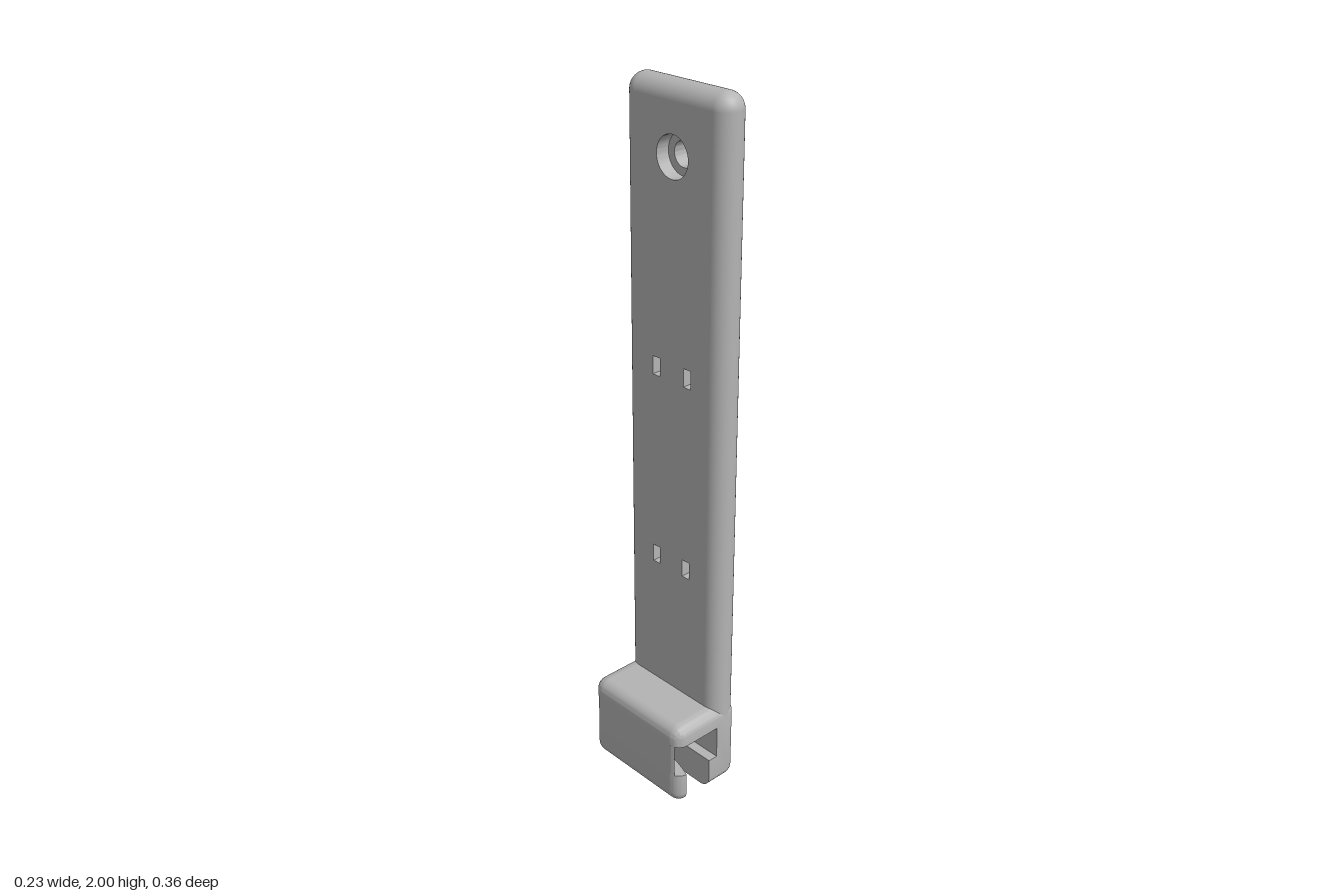
import * as THREE from 'three';
import { toCreasedNormals } from 'three/addons/utils/BufferGeometryUtils.js';

const H = 0.182;                 // half width along z
const R = 0.036;                 // clamp edge rounding
const LEFT = -0.117, RIGHT = 0.114, TOP = 0.26;
const PLATE_X = 0.024, PLATE_R = (RIGHT - PLATE_X) / 2;

// How far the rounded outer skin has pulled in at a given z
function inset(z) {
  const a = Math.max(0, Math.abs(z) - (H - R));
  return R - Math.sqrt(Math.max(0, R * R - a * a));
}

function arc(cx, cy, r, from, steps = 8) {
  return Array.from({ length: steps + 1 }, (_, i) => {
    const a = from + (i / steps) * Math.PI / 2;
    return new THREE.Vector2(cx + r * Math.cos(a), cy + r * Math.sin(a));
  });
}

// Skin counter-clockwise xy profiles along z, closed at both ends
function loft(zEnd, profile, steps = 48) {
  const pos = [];
  const rings = [];
  for (let i = 0; i <= steps; i++) {
    const z = zEnd * Math.sin((i / steps - 0.5) * Math.PI);
    rings.push(profile(z).map(p => [p.x, p.y, z]));
  }
  const n = rings[0].length;
  for (let k = 0; k < steps; k++) {
    const a = rings[k], b = rings[k + 1];
    for (let i = 0; i < n; i++) {
      const j = (i + 1) % n;
      pos.push(...a[i], ...a[j], ...b[j], ...a[i], ...b[j], ...b[i]);
    }
  }
  const first = rings[0], last = rings[steps];
  for (const [a, b, c] of THREE.ShapeUtils.triangulateShape(profile(0), [])) {
    pos.push(...last[a], ...last[b], ...last[c], ...first[a], ...first[c], ...first[b]);
  }
  const g = new THREE.BufferGeometry();
  g.setAttribute('position', new THREE.Float32BufferAttribute(pos, 3));
  return toCreasedNormals(g, 0.6);
}

// One layer of the plate, with the hanging hole and four strap slots
function plateLayer(x0, x1, holeRadius) {
  const w = H - PLATE_R, y0 = 0.22, y1 = 2 - PLATE_R;
  const rect = (S, cx, hw, a, b) => new S([
    new THREE.Vector2(cx - hw, a), new THREE.Vector2(cx + hw, a),
    new THREE.Vector2(cx + hw, b), new THREE.Vector2(cx - hw, b)]);
  const shape = rect(THREE.Shape, 0, w, y0, y1);
  shape.holes.push(new THREE.Path().absarc(0, 1.82, holeRadius, 0, Math.PI * 2, true));
  for (const y of [0.677, 1.25]) {
    for (const z of [-0.058, 0.058]) {
      shape.holes.push(rect(THREE.Path, z, 0.0135, y - 0.026, y + 0.026));
    }
  }
  const g = new THREE.ExtrudeGeometry(shape, { depth: x1 - x0, bevelEnabled: false, curveSegments: 32 });
  return toCreasedNormals(g.rotateY(Math.PI / 2).translate(x0, 0, 0), 0.6);
}

export function createModel() {
  const group = new THREE.Group();
  const grey = new THREE.MeshStandardMaterial({ color: 0xb4b4b4 });
  grey.name = 'grey';
  const add = (name, geometry, x = 0, y = 0, z = 0) => {
    const m = new THREE.Mesh(geometry, grey);
    m.name = name;
    m.position.set(x, y, z);
    group.add(m);
    return m;
  };

  // Tall plate: wide counterbore on the clamp side, narrow hole behind it
  add('plateInnerLayer', plateLayer(PLATE_X, 0.064, 0.056));
  add('plateOuterLayer', plateLayer(0.064, RIGHT, 0.034));

  // Full-round rim of the plate
  const cx = PLATE_X + PLATE_R, top = 2 - PLATE_R, edge = H - PLATE_R;
  for (const s of [-1, 1]) {
    add('plateSideEdge', new THREE.CylinderGeometry(PLATE_R, PLATE_R, top - 0.22, 40), cx, (top + 0.22) / 2, s * edge);
    add('plateCorner', new THREE.SphereGeometry(PLATE_R, 40, 24), cx, top, s * edge);
  }
  add('plateTopEdge', new THREE.CylinderGeometry(PLATE_R, PLATE_R, 2 * edge, 40), cx, top, 0).rotation.x = Math.PI / 2;

  // Clamp roof, spine and foot as one C-shaped section
  const V = (x, y) => new THREE.Vector2(x, y);
  add('clampBody', loft(H, z => {
    const d = inset(z), r = R - d;
    return [
      V(0.005, d),
      ...arc(RIGHT - R, R, r, -Math.PI / 2),
      ...arc(RIGHT - R, TOP - R, r, 0),
      ...arc(LEFT + R, TOP - R, r, Math.PI / 2),
      V(LEFT + d, 0.2), V(0.035, 0.2), V(0.035, 0.1), V(0.005, 0.1),
    ];
  }));

  // Jaw and lip have inner faces that bow toward the plate
  const bow = (x, z) => x - 0.034 * (z / H) ** 2;
  add('clampJaw', loft(0.162, z => {
    const out = LEFT + inset(z), inn = Math.max(bow(-0.086, z), out);
    return [V(out, 0.1), V(inn, 0.1), V(inn, 0.2), V(out, 0.2)];
  }));
  add('clampLip', loft(0.1815, z => {
    const d = inset(z), inn = bow(-0.05, z);
    const corner = arc(LEFT + R, R, R - d, Math.PI).map(p => V(Math.min(p.x, inn), p.y));
    return [...corner, V(inn, d), V(inn, 0.1), V(LEFT + d, 0.1)];
  }));

  return group;
}
